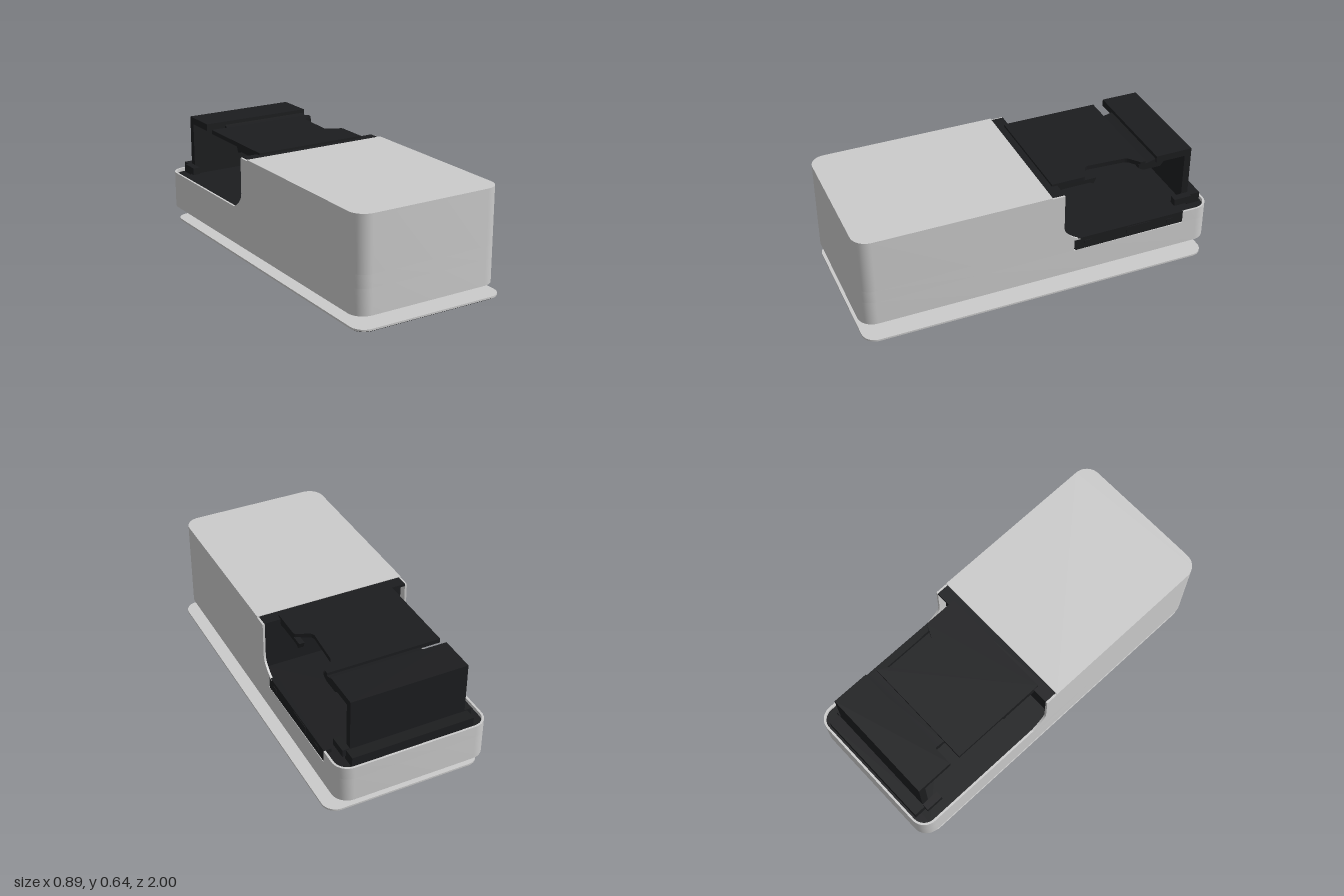
import * as THREE from 'three';
import { toCreasedNormals } from 'three/addons/utils/BufferGeometryUtils.js';

const grey = new THREE.MeshStandardMaterial({ color: 0xcccccc, side: THREE.DoubleSide });
const black = new THREE.MeshStandardMaterial({ color: 0x1c1d1f, side: THREE.DoubleSide });

// Closed outline through [u, v, cornerRadius] points
function outline(points, Type = THREE.Shape) {
  const path = new Type();
  const P = points.map(([u, v]) => new THREE.Vector2(u, v));
  points.forEach(([, , r = 0], i) => {
    const p = P[i], prev = P[(i + P.length - 1) % P.length], next = P[(i + 1) % P.length];
    const a = p.clone().add(prev.clone().sub(p).setLength(r));
    const b = p.clone().add(next.clone().sub(p).setLength(r));
    if (i === 0) path.moveTo(a.x, a.y); else path.lineTo(a.x, a.y);
    if (r > 0) {
      const c = a.clone().lerp(p, 0.552), d = b.clone().lerp(p, 0.552);
      path.bezierCurveTo(c.x, c.y, d.x, d.y, b.x, b.y);
    }
  });
  path.closePath();
  return path;
}

function extrude(shape, depth) {
  return new THREE.ExtrudeGeometry(shape, { depth, bevelEnabled: false, curveSegments: 10 });
}

export function createModel() {
  const model = new THREE.Group();

  function add(name, geometry, material) {
    const mesh = new THREE.Mesh(toCreasedNormals(geometry, 0.6), material);
    mesh.name = name;
    model.add(mesh);
  }
  // Plan outline in [x, z, r], raised from y0 to y1
  function slab(name, points, y0, y1, material, hole) {
    const flip = (list) => list.map(([x, z, r]) => [x, -z, r]);
    const shape = outline(flip(points));
    if (hole) shape.holes.push(outline(flip(hole), THREE.Path));
    add(name, extrude(shape, y1 - y0).rotateX(-Math.PI / 2).translate(0, y0, 0), material);
  }
  // Side outline in [z, y, r], spanning x0 to x1
  function profile(name, points, x0, x1, material) {
    add(name, extrude(outline(points), x1 - x0).rotateY(-Math.PI / 2).translate(x1, 0, 0), material);
  }
  function box(name, x0, x1, y0, y1, z0, z1, material) {
    const g = new THREE.BoxGeometry(x1 - x0, y1 - y0, z1 - z0);
    add(name, g.translate((x0 + x1) / 2, (y0 + y1) / 2, (z0 + z1) / 2), material);
  }
  const rect = (x0, x1, z0, z1, rBack = 0, rFront = rBack) =>
    [[x0, z0, rBack], [x1, z0, rBack], [x1, z1, rFront], [x0, z1, rFront]];

  // Housing: full-length lower wall, with a recess on the +x side, and a taller front half
  const L = -0.445, R = 0.402, t = 0.012, r = 0.085;
  slab('lowerWall', rect(L, R, -1, 1, r), 0.105, 0.245, grey, rect(L + t, R - t, -1 + t, 1 - t, r - t));
  slab('rimWall', [
    [R, -0.83], [R, -1, r], [L, -1, r], [L, 1, r], [R, 1, r], [R, -0.18],
    [R - t, -0.18], [R - t, 1 - t, r - t], [L + t, 1 - t, r - t],
    [L + t, -1 + t, r - t], [R - t, -1 + t, r - t], [R - t, -0.83],
  ], 0.245, 0.315, grey);
  slab('upperWall', [
    [L, -0.12], [L, 1, r], [R, 1, r], [R, -0.12],
    [R - t, -0.12], [R - t, 1 - t, r - t], [L + t, 1 - t, r - t], [L + t, -0.12],
  ], 0.315, 0.61, grey);
  slab('topPanel', rect(L, R, -0.05, 1, 0, r), 0.605, 0.617, grey);
  // Curved foot of each side wall where it drops to the low rear rim
  for (const x of [L, R - t]) {
    const shape = new THREE.Shape();
    shape.moveTo(-0.1, 0.31);
    shape.lineTo(-0.22, 0.31);
    shape.bezierCurveTo(-0.17, 0.33, -0.12, 0.37, -0.12, 0.41);
    shape.lineTo(-0.1, 0.41);
    add('wallCurve', extrude(shape, t).rotateY(-Math.PI / 2).translate(x + t, 0, 0), grey);
  }

  // Dark interior
  const inL = L + t, inR = R - t;
  slab('bottomLiner', rect(inL, inR, -0.988, 0.988, r - t), 0.112, 0.125, black);
  slab('rearFloor', rect(inL, inR, -0.988, -0.05, r - t, 0), 0.27, 0.295, black);
  box('bulkhead', inL, inR, 0.125, 0.605, -0.075, -0.055, black);
  box('topLip', inL, inR, 0.6, 0.614, -0.12, -0.05, black);

  // Side connector panel in the recess
  profile('sidePanel', [[-0.18, 0.318], [-0.185, 0.245, 0.01], [-0.83, 0.25, 0.01], [-0.83, 0.318]],
    0.36, 0.401, black);
  box('sideSocket', 0.39, 0.404, 0.27, 0.31, -0.63, -0.49, black);
  for (const z of [-0.26, -0.75]) box('sideLatch', 0.39, 0.404, 0.27, 0.295, z - 0.02, z + 0.02, black);

  // Cover: plate with side notches, stepped neck, raised bar and rear wall
  const cL = -0.345, cR = 0.3;
  slab('coverPlate', [
    [cL, -0.09], [cR, -0.09], [cR, -0.28, 0.01], [0.21, -0.32, 0.02], [0.225, -0.56, 0.02],
    [0.29, -0.61], [0.29, -0.64], [cL, -0.64],
  ], 0.602, 0.626, black);
  profile('coverNeck', [[-0.6, 0.61], [-0.6, 0.59], [-0.63, 0.573], [-0.73, 0.573], [-0.76, 0.61],
    [-0.72, 0.63], [-0.64, 0.61]], -0.23, 0.29, black);
  box('raisedBar', cL, cR, 0.606, 0.645, -0.91, -0.7, black);
  box('rearWall', cL, cR, 0.32, 0.64, -0.91, -0.872, black);
  for (const [x0, x1] of [[-0.385, cL], [cR, 0.34]]) {
    box('rearWallFlange', x0, x1, 0.32, 0.36, -0.91, -0.81, black);
  }
  box('rearWallFoot', -0.36, 0.32, 0.29, 0.355, -0.975, -0.9, black);
  // Ribs and clip under the cover
  for (const x of [cL, 0.27]) {
    profile('coverRib', [[-0.115, 0.605], [-0.12, 0.575], [-0.16, 0.582], [-0.31, 0.582],
      [-0.33, 0.57], [-0.345, 0.605]], x, x + 0.03, black);
  }
  profile('coverClip', [[-0.515, 0.605], [-0.525, 0.58], [-0.505, 0.55], [-0.555, 0.55],
    [-0.54, 0.58], [-0.55, 0.605]], -0.06, 0, black);

  // U-shaped brackets between housing and base
  function bracket(name, x0, x1, z0, z1, material) {
    const w = 0.03;
    const shape = outline([[x0, 0.04], [x1, 0.04], [x1, 0.112], [x1 - w, 0.112],
      [x1 - w, 0.08], [x0 + w, 0.08], [x0 + w, 0.112], [x0, 0.112]]);
    add(name, extrude(shape, z1 - z0).translate(0, 0, z0), material);
  }
  bracket('greyBracket', -0.013, 0.287, 0.62, 0.73, grey);
  bracket('blackBracket', -0.333, -0.03, 0.14, 0.62, black);
  box('bracketTongue', -0.32, -0.04, 0.045, 0.075, -0.29, 0.14, black);
  box('bracketTip', -0.32, -0.04, 0.042, 0.08, -0.34, -0.28, black);

  // Base plate with dark underside, rails and feet
  slab('basePlate', rect(-0.435, 0.443, -0.965, 0.998, 0.075), 0.025, 0.035, grey);
  slab('baseUnderside', rect(-0.425, 0.434, -0.955, 0.988, 0.07), 0.018, 0.026, black);
  for (const x of [-0.345, 0.355]) {
    box('baseRail', x - 0.018, x + 0.018, 0.01, 0.02, -0.84, 0.88, black);
    for (const z of [-0.75, -0.25, 0.3, 0.8]) {
      const foot = new THREE.CylinderGeometry(0.009, 0.009, 0.012, 16);
      add('foot', foot.translate(x, 0.006, z), black);
    }
  }
  return model;
}
